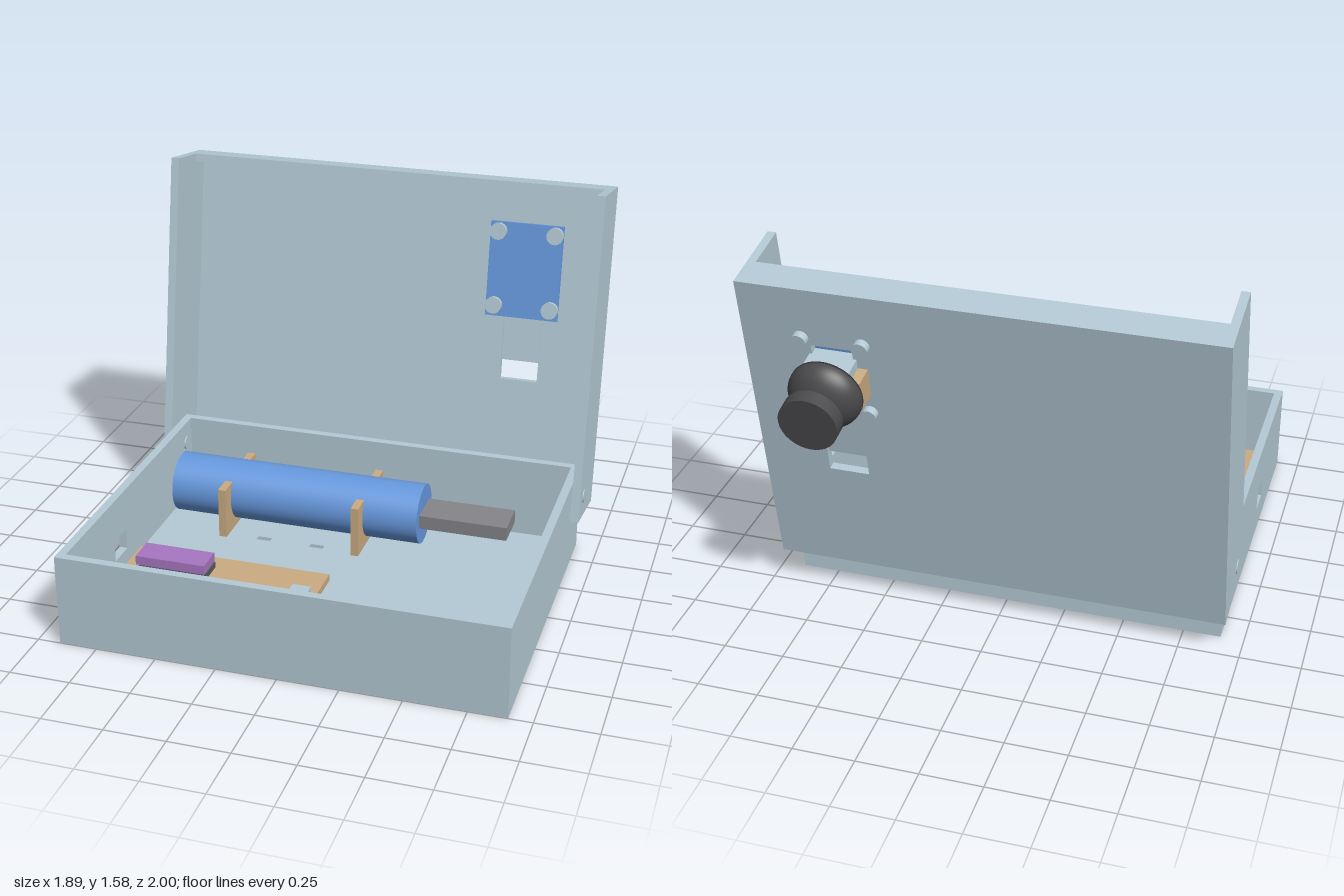
import * as THREE from 'three';

const mat = (name, color) => new THREE.MeshStandardMaterial({ name, color });

export function createModel() {
  const shell = mat('pale blue grey', 0xb4cad5);
  const blue = mat('blue', 0x6799de);
  const tan = mat('tan', 0xcbac82);
  const purple = mat('purple', 0xa876c2);
  const grey = mat('mid grey', 0x85858a);
  const board = mat('charcoal', 0x585b5d);
  const rubber = mat('dark rubber', 0x4b4b4d);

  const model = new THREE.Group();
  model.name = 'hingedConsole';

  const add = (parent, name, geo, material) => {
    const m = new THREE.Mesh(geo, material);
    m.name = name;
    parent.add(m);
    return m;
  };
  // Box given by its limits on each axis
  const box = (parent, name, material, [x0, x1], [y0, y1], [z0, z1]) => {
    const m = add(parent, name, new THREE.BoxGeometry(x1 - x0, y1 - y0, z1 - z0), material);
    m.position.set((x0 + x1) / 2, (y0 + y1) / 2, (z0 + z1) / 2);
    return m;
  };
  const rect = (path, x0, x1, y0, y1) => {
    path.moveTo(x0, y0);
    path.lineTo(x1, y0);
    path.lineTo(x1, y1);
    path.lineTo(x0, y1);
    path.closePath();
    return path;
  };
  // Flat panel with rectangular holes, extruded along +z
  const panel = (outer, holes, depth) => {
    const s = rect(new THREE.Shape(), ...outer);
    holes.forEach((h) => s.holes.push(rect(new THREE.Path(), ...h)));
    return new THREE.ExtrudeGeometry(s, { depth, bevelEnabled: false });
  };

  // ---- Base tray ----
  const base = new THREE.Group();
  base.name = 'baseTray';
  model.add(base);
  const T = 0.035, W = 0.905, H = 0.385;
  const strapSlots = [];
  for (const x of [-0.425, -0.185])
    for (const z of [-0.32, 0.005]) strapSlots.push([x, x + 0.062, z, z + 0.026]);
  add(base, 'floor', panel([-W, W, -0.39, 1], strapSlots, T).rotateX(Math.PI / 2).translate(0, T, 0), shell);
  add(base, 'portWall', panel([-0.39, 1, T, H], [[0.4, 0.52, 0.115, 0.205]], T)
    .rotateY(-Math.PI / 2).translate(-W + T, 0, 0), shell);
  box(base, 'leftWall', shell, [W - T, W], [T, H], [-0.39, 1]);
  box(base, 'frontWall', shell, [-W + T, W - T], [T, H], [1 - T, 1]);
  box(base, 'backWall', shell, [-W + T, W - T], [T, H], [-0.39, -0.39 + T]);

  // ---- Cylinder on its two cradles ----
  const cy = 0.18, cz = -0.1425, R = 0.13;
  const tube = add(model, 'cylinder', new THREE.CylinderGeometry(R, R, 1.11, 64).rotateZ(Math.PI / 2), blue);
  tube.position.set(-0.275, cy, cz);
  box(model, 'cylinderRod', grey, [0.28, 0.66], [0.15, 0.21], [-0.23, -0.06]);

  const cradle = new THREE.Shape();
  const open = Math.asin(0.08 / R);
  cradle.moveTo(-0.193, T - cy);
  cradle.lineTo(0.193, T - cy);
  cradle.lineTo(0.193, 0.08);
  cradle.lineTo(R * Math.cos(open), 0.08);
  cradle.absarc(0, 0, R, open, Math.PI - open, true);
  cradle.lineTo(-0.193, 0.08);
  cradle.closePath();
  for (const x of [-0.59, 0.008]) {
    const g = new THREE.ExtrudeGeometry(cradle, { depth: 0.034, bevelEnabled: false, curveSegments: 32 });
    g.rotateY(-Math.PI / 2).translate(x + 0.034, cy, cz);
    add(model, 'cradle', g, tan);
    for (const z of [-0.295, 0.01])
      box(model, 'cradleTab', tan, [x, x + 0.034], [-0.002, T], [z - 0.035, z + 0.035]);
  }

  // ---- Circuit board stack ----
  const electronics = new THREE.Group();
  electronics.name = 'electronics';
  model.add(electronics);
  box(electronics, 'carrierBoard', tan, [-0.84, 0], [0.06, 0.09], [0.325, 0.925]);
  for (const x of [-0.805, -0.035])
    for (const z of [0.365, 0.895]) {
      const s = add(electronics, 'standoff', new THREE.CylinderGeometry(0.015, 0.015, 0.064, 20), shell);
      s.position.set(x, 0.03, z);
    }
  box(electronics, 'smallModule', purple, [-0.78, -0.477], [0.115, 0.155], [0.4, 0.52]);
  box(electronics, 'smallModuleBase', board, [-0.77, -0.472], [0.09, 0.115], [0.405, 0.515]);
  box(electronics, 'mainBoard', board, [-0.755, 0], [0.09, 0.115], [0.555, 0.86]);
  box(electronics, 'chipCover', shell, [-0.755, -0.54], [0.1, 0.135], [0.6, 0.815]);
  for (const z of [0.59, 0.73])
    box(electronics, 'socket', shell, [-0.07, 0.008], [0.1, 0.18], [z, z + 0.095]);
  box(electronics, 'plug', grey, [0.008, 0.29], [0.11, 0.165], [0.725, 0.83]);

  // ---- Lid, tilted back about its lower front edge; depth runs along -z ----
  const lid = new THREE.Group();
  lid.name = 'lid';
  lid.position.set(0, 0.215, -0.185);
  lid.rotation.x = -THREE.MathUtils.degToRad(9.9);
  model.add(lid);
  const L = 1.385, D = 0.335;
  add(lid, 'lidPanel', panel([-W, W, 0, L], [[0.5, 0.665, 0.51, 1.13]], T).translate(0, 0, -D), shell);
  box(lid, 'lidTopLip', shell, [-W, W], [L - 0.032, L], [-D + T, -0.2]);
  box(lid, 'lidBottomLip', shell, [-W, W], [0, 0.032], [-D + T, -0.237]);
  for (const s of [-1, 1]) {
    const side = box(lid, 'lidSide', shell, [W, 0.94], [0, L], [-D, 0]);
    side.position.x *= s;
    // hinge pin through lid side and tray wall
    const pin = add(model, 'hingePin', new THREE.CylinderGeometry(0.03, 0.03, 0.08, 32).rotateZ(Math.PI / 2), shell);
    pin.position.set(s * 0.904, 0.29, -0.295);
  }

  // Control plate with four bolts
  box(lid, 'slotCover', shell, [0.503, 0.662], [0.595, 0.82], [-0.325, -0.308]);
  box(lid, 'controlPlate', blue, [0.42, 0.735], [0.79, 1.2], [-0.3, -0.28]);
  const disc = (name, material, r, x, u, w0, w1) => {
    const m = add(lid, name, new THREE.CylinderGeometry(r, r, w1 - w0, 32).rotateX(Math.PI / 2), material);
    m.position.set(x, u, -(w0 + w1) / 2);
  };
  for (const x of [0.457, 0.702])
    for (const u of [0.838, 1.16]) {
      disc('boltHead', shell, 0.036, x, u, 0.255, 0.28);
      disc('boltNut', shell, 0.032, x, u, D, 0.368);
    }

  // Joystick on the outside of the lid
  const kx = 0.58, ku = 0.995;
  box(lid, 'joystickBody', shell, [0.485, 0.675], [0.9, 1.09], [-0.435, -0.3]);
  box(lid, 'joystickPins', shell, [0.53, 0.63], [0.86, 0.9], [-0.42, -0.3]);
  box(lid, 'joystickSensor', tan, [0.445, 0.485], [0.93, 1.05], [-0.425, -D]);
  const profile = [[0, 0], [0.147, 0]];
  for (let i = 0; i <= 12; i++) {
    const a = (i / 12) * 1.22;
    profile.push([0.147 * Math.cos(a), 0.012 + 0.093 * Math.sin(a)]);
  }
  profile.push([0, 0.1]);
  const dome = add(lid, 'joystickDome', new THREE.LatheGeometry(
    profile.map((p) => new THREE.Vector2(...p)), 48).rotateX(-Math.PI / 2), rubber);
  dome.position.set(kx, ku, -0.435);
  disc('joystickStem', rubber, 0.053, kx, ku, 0.52, 0.575);
  disc('joystickCap', rubber, 0.117, kx, ku, 0.57, 0.632);

  return model;
}
